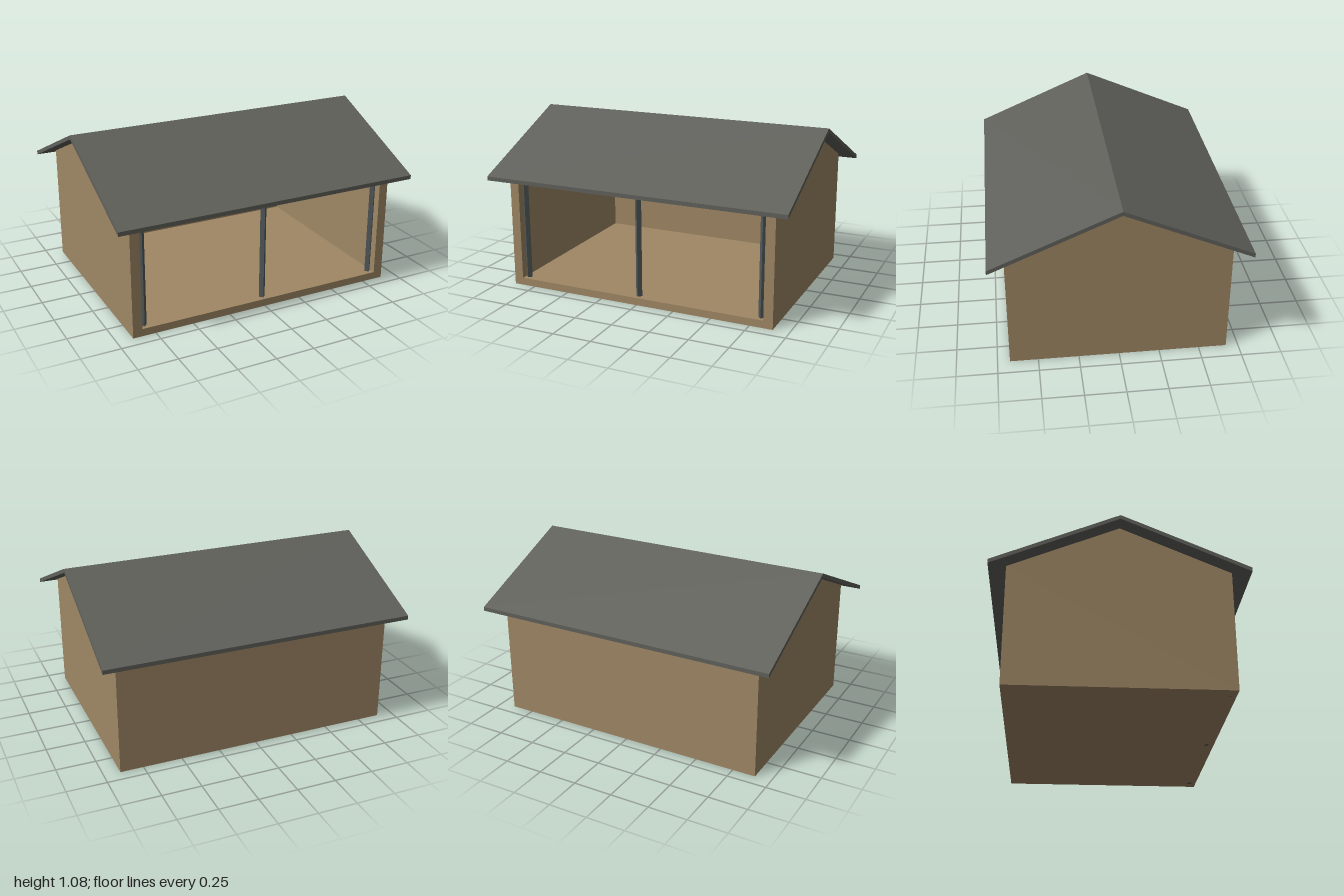
import * as THREE from 'three';

const HALF_X = 0.897, HALF_Z = 0.674, WALL = 0.06;
const RIDGE = 1.058, EAVE = 0.722, EAVE_Z = 0.775, ROOF_T = 0.026;
const underside = (z) => RIDGE - (RIDGE - EAVE) * Math.abs(z) / EAVE_Z;

export function createModel() {
  const group = new THREE.Group();
  const timber = new THREE.MeshStandardMaterial({ name: 'tanTimber', color: 0x9f8764 });
  const roofing = new THREE.MeshStandardMaterial({ name: 'greyRoofing', color: 0x60605b });
  const steel = new THREE.MeshStandardMaterial({ name: 'darkSteel', color: 0x50585a });

  const add = (name, geometry, material, x = 0, y = 0, z = 0) => {
    const mesh = new THREE.Mesh(geometry, material);
    mesh.name = name;
    mesh.position.set(x, y, z);
    group.add(mesh);
    return mesh;
  };

  // Extrudes a [z, y] outline along x, centred on x = 0
  const extrudeX = (points, width) => {
    const shape = new THREE.Shape(points.map(([z, y]) => new THREE.Vector2(-z, y)));
    const geometry = new THREE.ExtrudeGeometry(shape, { depth: width, bevelEnabled: false });
    return geometry.translate(0, 0, -width / 2).rotateY(Math.PI / 2);
  };

  // Gable end walls
  const gable = extrudeX([
    [HALF_Z, 0], [-HALF_Z, 0], [-HALF_Z, underside(HALF_Z)], [0, RIDGE], [HALF_Z, underside(HALF_Z)],
  ], WALL);
  add('leftGableWall', gable, timber, HALF_X - WALL / 2);
  add('rightGableWall', gable, timber, -HALF_X + WALL / 2);

  // Floor and the lower back wall, fitted between the gables
  const inner = 2 * (HALF_X - WALL);
  add('floor', new THREE.BoxGeometry(inner, 0.048, 2 * HALF_Z), timber, 0, 0.024, 0);
  const backHeight = 0.72 - 0.048;
  add('backWall', new THREE.BoxGeometry(inner, backHeight, WALL), timber,
    0, 0.048 + backHeight / 2, -HALF_Z + WALL / 2);

  // Pitched roof with plumb-cut eaves
  add('roof', extrudeX([
    [EAVE_Z, EAVE], [0, RIDGE], [-EAVE_Z, EAVE],
    [-EAVE_Z, EAVE + ROOF_T], [0, RIDGE + ROOF_T], [EAVE_Z, EAVE + ROOF_T],
  ], 2), roofing);

  // Front posts, set corner-on
  const postZ = 0.63, postHeight = underside(postZ);
  for (const [name, x] of [['rightPost', -0.812], ['middlePost', 0], ['leftPost', 0.812]]) {
    const post = new THREE.CylinderGeometry(0.021, 0.021, postHeight, 4).toNonIndexed();
    post.computeVertexNormals();
    add(name, post, steel, x, postHeight / 2, postZ);
  }

  return group;
}
